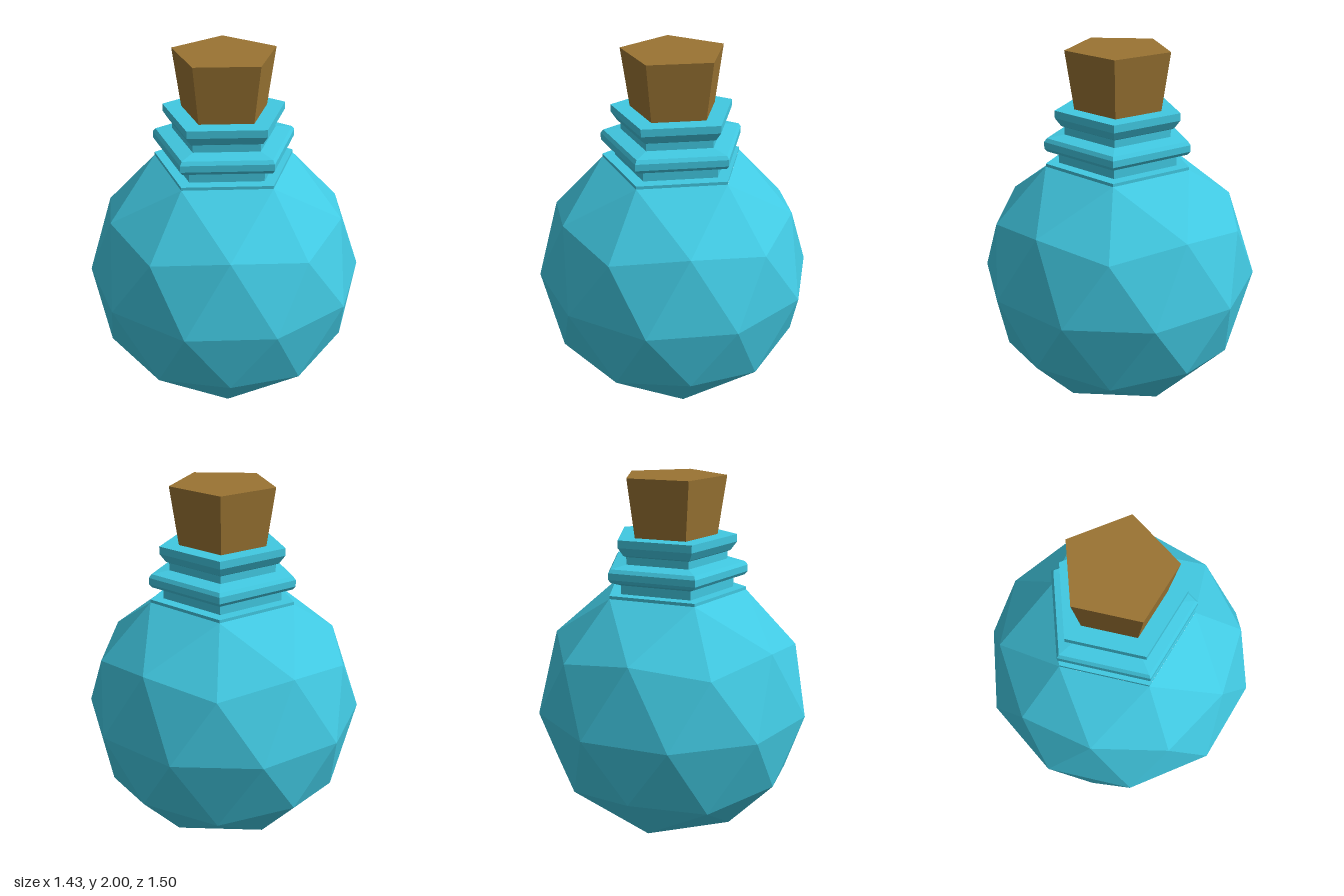
import * as THREE from 'three';

const R = 0.752;

export function createModel() {
  const group = new THREE.Group();
  const glass = new THREE.MeshStandardMaterial({ color: 0x41c9e2, flatShading: true });
  const wood = new THREE.MeshStandardMaterial({ color: 0x9a7433, flatShading: true });

  const add = (name, geometry, material) => {
    const mesh = new THREE.Mesh(geometry, material);
    mesh.name = name;
    group.add(mesh);
    return mesh;
  };

  // Faceted body: icosphere standing on one corner, its five top faces left open for the neck
  const sphere = new THREE.IcosahedronGeometry(R, 1);
  sphere.rotateZ(-Math.atan(2 / (1 + Math.sqrt(5))));
  const p = sphere.attributes.position;
  const kept = [];
  for (let i = 0; i < p.count; i += 3) {
    const top = Math.max(p.getY(i), p.getY(i + 1), p.getY(i + 2));
    if (top > R * 0.95) continue;
    for (let j = i; j < i + 3; j++) kept.push(p.getX(j), p.getY(j) + R, p.getZ(j));
  }
  const body = new THREE.BufferGeometry();
  body.setAttribute('position', new THREE.Float32BufferAttribute(kept, 3));
  body.computeVertexNormals();
  add('body', body, glass);

  // Five-sided neck: collar, bulging ring, groove and flared lip with a flat top
  const profile = [
    [0.395, 1.391], [0.395, 1.408], [0.325, 1.408], [0.325, 1.455],
    [0.385, 1.475], [0.4, 1.493], [0.4, 1.528], [0.385, 1.547],
    [0.29, 1.56], [0.29, 1.6], [0.308, 1.608], [0.34, 1.652],
    [0.34, 1.692], [0, 1.692],
  ].map(([r, y]) => new THREE.Vector2(r, y));
  add('neck', new THREE.LatheGeometry(profile, 5, Math.PI / 2), glass);

  // Tapered five-sided stopper
  const cork = new THREE.CylinderGeometry(0.282, 0.235, 0.32, 5, 1, false, Math.PI / 2);
  add('cork', cork, wood).position.y = 1.84;

  return group;
}
